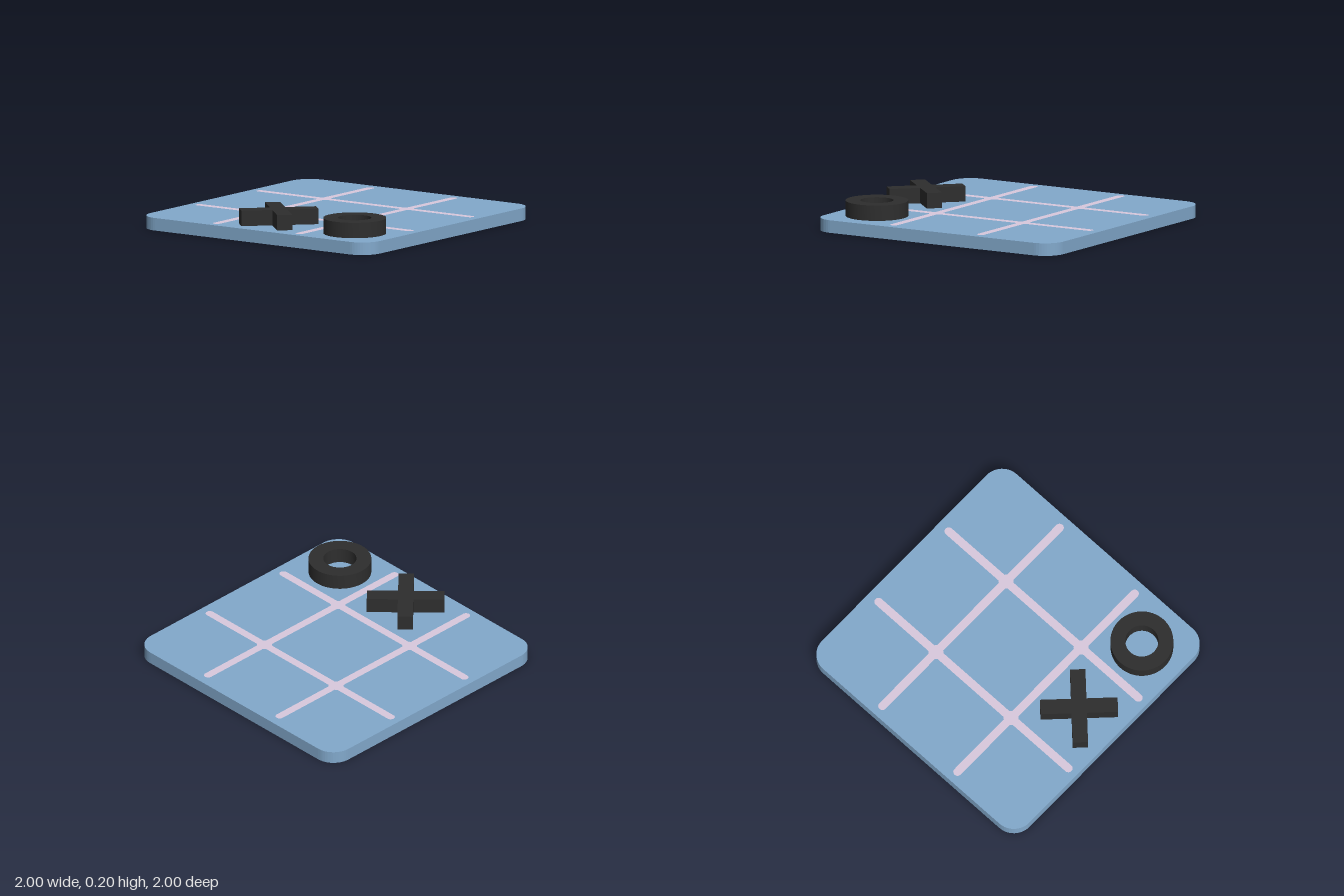
import * as THREE from 'three';
import { toCreasedNormals } from 'three/addons/utils/BufferGeometryUtils.js';

const BOARD_TOP = 0.09;
const PIECE_TOP = 0.2;

const material = (color) => new THREE.MeshStandardMaterial({ color });

// Rounded rectangle centred on the origin
function roundedRect(w, h, r) {
  const x = w / 2 - r, y = h / 2 - r;
  const s = new THREE.Shape();
  s.absarc(x, y, r, 0, Math.PI / 2);
  s.absarc(-x, y, r, Math.PI / 2, Math.PI);
  s.absarc(-x, -y, r, Math.PI, Math.PI * 1.5);
  s.absarc(x, -y, r, Math.PI * 1.5, Math.PI * 2);
  s.closePath();
  return s;
}

// Extrude a flat shape upwards from y = 0
function slab(shape, height, curveSegments) {
  const g = new THREE.ExtrudeGeometry(shape, { depth: height, bevelEnabled: false, curveSegments });
  return g.rotateX(-Math.PI / 2);
}

export function createModel() {
  const model = new THREE.Group();
  const blue = material(0x82a9cc);
  const pink = material(0xdacade);
  const black = material(0x2e2e2e);

  const add = (name, geometry, mat, x, y, z, parent = model) => {
    const mesh = new THREE.Mesh(geometry, mat);
    mesh.name = name;
    mesh.position.set(x, y, z);
    parent.add(mesh);
    return mesh;
  };

  // Board with rounded corners
  add('board', slab(roundedRect(2, 2, 0.15), BOARD_TOP, 6), blue, 0, 0, 0);

  // Thin grid lines with rounded ends, and a small node at each crossing
  const grid = new THREE.Group();
  grid.name = 'gridLines';
  model.add(grid);
  const cx = -0.008, cz = -0.003, offset = 0.362;
  const line = new THREE.ShapeGeometry(roundedRect(1.89, 0.06, 0.03), 8).rotateX(-Math.PI / 2);
  const node = new THREE.CircleGeometry(0.053, 16).rotateX(-Math.PI / 2);
  const lineY = BOARD_TOP + 0.001;
  for (const i of [-1, 1]) {
    add('lineAcross', line, pink, cx, lineY, cz + i * offset, grid);
    add('lineDown', line, pink, cx + i * offset, lineY, cz, grid).rotation.y = Math.PI / 2;
    for (const j of [-1, 1]) {
      add('crossing', node, pink, cx + i * offset, lineY, cz + j * offset, grid);
    }
  }

  // Cross piece: one plus-shaped outline turned by 45 degrees
  const a = 0.274, b = 0.0545;
  const plus = new THREE.Shape([
    [a, -b], [a, b], [b, b], [b, a], [-b, a], [-b, b],
    [-a, b], [-a, -b], [-b, -b], [-b, -a], [b, -a], [b, -b],
  ].map(([x, y]) => new THREE.Vector2(x, y)));
  const cross = add('crossPiece', slab(plus, PIECE_TOP - BOARD_TOP, 1), black, -0.685, BOARD_TOP, 0);
  cross.rotation.y = Math.PI / 4;

  // Ring piece
  const ring = new THREE.Shape().absarc(0, 0, 0.222, 0, Math.PI * 2);
  ring.holes.push(new THREE.Path().absarc(0, 0, 0.117, 0, Math.PI * 2, true));
  const ringGeometry = toCreasedNormals(slab(ring, PIECE_TOP - BOARD_TOP, 32), 0.6);
  add('ringPiece', ringGeometry, black, -0.677, BOARD_TOP, 0.658);

  return model;
}
